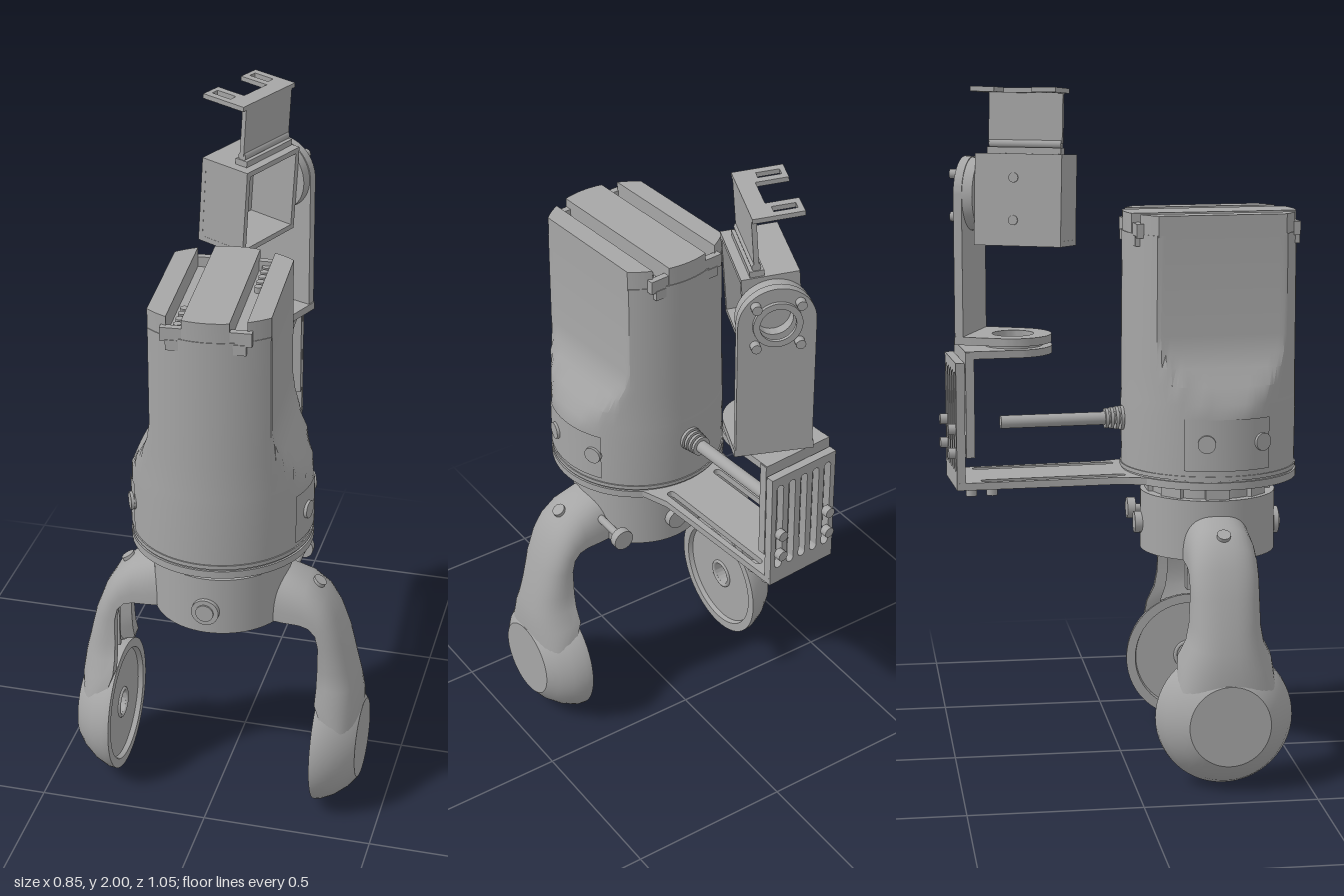
import * as THREE from 'three';
import { toCreasedNormals } from 'three/addons/utils/BufferGeometryUtils.js';

const TAU = Math.PI * 2;

export function createModel() {
  const model = new THREE.Group();
  const grey = new THREE.MeshStandardMaterial({ color: 0xa6a6a6 });
  grey.name = 'machined grey';

  const add = (parent, name, geo, x = 0, y = 0, z = 0) => {
    const mesh = new THREE.Mesh(geo, grey);
    mesh.name = name;
    mesh.position.set(x, y, z);
    parent.add(mesh);
    return mesh;
  };
  const group = (parent, name, x, y, z, ry = 0, rz = 0) => {
    const g = new THREE.Group();
    g.name = name;
    g.position.set(x, y, z);
    g.rotation.set(0, ry, rz);
    parent.add(g);
    return g;
  };
  const box = (parent, name, w, h, d, x, y, z) => add(parent, name, new THREE.BoxGeometry(w, h, d), x, y, z);
  // Cylinder lying along the chosen axis
  const cyl = (parent, name, r, h, axis, x, y, z, sides = 24) => {
    const g = new THREE.CylinderGeometry(r, r, h, sides);
    if (axis === 'x') g.rotateZ(-Math.PI / 2);
    if (axis === 'z') g.rotateX(Math.PI / 2);
    return add(parent, name, g, x, y, z);
  };
  const extrude = (shape, depth) =>
    toCreasedNormals(new THREE.ExtrudeGeometry(shape, { depth, bevelEnabled: false, curveSegments: 24 }), 0.5);
  // Flat slab between two heights; shape y points to -z
  const slab = (parent, name, shape, y0, y1) =>
    add(parent, name, extrude(shape, y1 - y0).rotateX(-Math.PI / 2), 0, y0, 0);
  // Upright plate between two depths
  const plate = (parent, name, shape, z0, z1) => add(parent, name, extrude(shape, z1 - z0), 0, 0, z0);
  const poly = (pts) => new THREE.Shape(pts.map(([x, y]) => new THREE.Vector2(x, y)));
  const hole = (shape, x, y, r) => shape.holes.push(new THREE.Path().absarc(x, y, r, 0, TAU, true));
  const slot = (shape, x, y0, y1, r) => {
    const p = new THREE.Path();
    p.absarc(x, y1, r, 0, Math.PI, false);
    p.absarc(x, y0, r, Math.PI, TAU, false);
    p.closePath();
    shape.holes.push(p);
  };
  // Straight-sided tongue with a round end
  const tongue = (y0, yc, r, bore) => {
    const s = new THREE.Shape();
    const up = yc > y0;
    s.moveTo(-r, y0);
    s.lineTo(-r, yc);
    s.absarc(0, yc, r, Math.PI, 0, up);
    s.lineTo(r, y0);
    s.closePath();
    hole(s, 0, yc, bore);
    return s;
  };
  const ring = (r, bore, y = 0) => {
    const s = new THREE.Shape().absarc(0, y, r, 0, TAU, false);
    hole(s, 0, y, bore);
    return s;
  };
  // Skin a list of closed cross-sections and cap both ends
  const loft = (sections, crease) => {
    const n = sections[0].length, pos = [], idx = [];
    sections.forEach((s) => s.forEach((p) => pos.push(...p)));
    for (let i = 0; i < sections.length - 1; i++) for (let j = 0; j < n; j++) {
      const a = i * n + j, b = i * n + (j + 1) % n;
      idx.push(a, a + n, b, b, a + n, b + n);
    }
    [0, sections.length - 1].forEach((k) => {
      const c = pos.length / 3;
      pos.push(...[0, 1, 2].map((q) => sections[k].reduce((t, p) => t + p[q], 0) / n));
      for (let j = 0; j < n; j++) {
        const a = k * n + j, b = k * n + (j + 1) % n;
        idx.push(c, k ? b : a, k ? a : b);
      }
    });
    const g = new THREE.BufferGeometry();
    g.setAttribute('position', new THREE.Float32BufferAttribute(pos, 3));
    g.setIndex(idx);
    return toCreasedNormals(g, crease);
  };

  // ---- Upper body: round base blending into a flat-sided column
  const body = group(model, 'body', 0, 0, 0.26, 0.074);
  const column = [[0.875, 0.256, 0.26], [1.06, 0.258, 0.26], [1.1, 0.257, 0.248], [1.15, 0.256, 0.222],
    [1.2, 0.256, 0.195], [1.24, 0.256, 0.178], [1.29, 0.256, 0.171], [1.58, 0.255, 0.169]];
  add(body, 'column', loft(column.map(([y, r, w]) => Array.from({ length: 96 }, (_, i) => {
    const a = (i / 96) * TAU;
    return [THREE.MathUtils.clamp(r * Math.cos(a), -w, w), y, r * Math.sin(a)];
  })), 0.6));
  cyl(body, 'baseRing', 0.262, 0.022, 'y', 0, 0.866, 0, 64);
  cyl(body, 'seamRing', 0.26, 0.012, 'y', 0, 0.888, 0, 64);

  // Top rails separated by two channels
  [['leftRail', 0.11, 0.169], ['middleRail', -0.065, 0.065], ['rightRail', -0.169, -0.11]].forEach(([name, x0, x1]) => {
    const pts = [];
    const edge = (x) => Math.sqrt(0.253 ** 2 - x * x);
    for (let i = 0; i <= 10; i++) { const x = x0 + (x1 - x0) * i / 10; pts.push([x, -edge(x)]); }
    for (let i = 10; i >= 0; i--) { const x = x0 + (x1 - x0) * i / 10; pts.push([x, edge(x)]); }
    slab(body, name, poly(pts), 1.575, 1.636);
  });
  for (const s of [-1, 1]) {
    for (let i = 0; i < 5; i++) cyl(body, 'contactPin', 0.012, 0.02, 'y', s * 0.087, 1.587, -s * (0.085 + i * 0.033), 16);
    for (const e of [-1, 1]) {
      box(body, 'channelClip', 0.075, 0.04, 0.02, s * 0.087, 1.59, e * 0.232);
      box(body, 'channelClipTab', 0.045, 0.03, 0.02, s * 0.087, 1.56, e * 0.234);
    }
    // Curved side covers with buttons
    const cover = new THREE.CylinderGeometry(0.262, 0.262, 0.15, 20, 1, true, s * Math.PI / 2 - 0.5, 1);
    add(body, 'sideCover', cover, 0, 0.985, 0);
    for (const a of [-0.25, 0.4]) {
      const b = group(body, 'sideButton', 0, 0.99, 0, s > 0 ? a : Math.PI + a);
      cyl(b, 'buttonCap', 0.026, 0.02, 'x', 0.26, 0, 0);
    }
  }

  // ---- Cable and strain relief at the back
  cyl(body, 'cable', 0.019, 0.38, 'z', 0, 1.03, -0.43);
  for (let i = 0; i < 4; i++) cyl(body, 'strainReliefRing', 0.036 - i * 0.002, 0.009, 'z', 0, 1.03, -0.262 - i * 0.015);

  // ---- Rear arm plate with long slots
  const arm = poly([[-0.19, 0.15], [-0.145, 0.22], [-0.122, 0.3], [-0.115, 0.765], [0.115, 0.765], [0.122, 0.3], [0.145, 0.22], [0.19, 0.15]].reverse());
  slot(arm, -0.088, 0.28, 0.68, 0.012);
  slot(arm, 0.088, 0.28, 0.68, 0.012);
  slab(body, 'armPlate', arm, 0.856, 0.877);
  const grille = poly([[-0.115, 0.86], [0.115, 0.86], [0.115, 1.225], [-0.115, 1.225]]);
  for (let i = -2; i <= 2; i++) slot(grille, i * 0.043, 0.92, 1.185, 0.012);
  plate(body, 'slottedBackPlate', grille, -0.765, -0.74);
  plate(body, 'lowerBracketWall', poly([[-0.115, 0.95], [0.115, 0.95], [0.115, 1.255], [-0.115, 1.255]]), -0.737, -0.712);
  slab(body, 'lowerBracketShelf', tongue(0.737, 0.58, 0.112, 0.06), 1.235, 1.257);
  const pivotRing = slab(body, 'pivotRing', ring(0.085, 0.055), 1.25, 1.27);
  pivotRing.position.z = -0.58;
  for (const s of [-1, 1]) {
    for (const y of [0.96, 1.03]) cyl(body, 'backBolt', 0.016, 0.022, 'z', s * 0.086, y, -0.775, 12);
    for (const z of [-0.66, -0.72]) cyl(body, 'underBolt', 0.016, 0.022, 'y', s * 0.088, 0.846, z, 12);
  }

  // ---- Swivelled upper bracket
  const swivel = group(model, 'swivelBracket', -0.043, 0, -0.32, -0.39);
  slab(swivel, 'swivelShelf', tongue(0.14, 0, 0.112, 0.06), 1.267, 1.29);
  const upright = tongue(1.267, 1.69, 0.108, 0.05);
  plate(swivel, 'swivelUpright', upright, -0.14, -0.115);
  plate(swivel, 'frontJointRing', ring(0.105, 0.05, 1.69), -0.115, -0.085);
  plate(swivel, 'backJointRing', ring(0.068, 0.05, 1.69), -0.15, -0.14);
  for (let i = 0; i < 4; i++) {
    const a = Math.PI / 4 + i * Math.PI / 2;
    cyl(swivel, 'jointBolt', 0.014, 0.025, 'z', 0.086 * Math.cos(a), 1.69 + 0.086 * Math.sin(a), -0.15, 12);
  }

  // Open box, tilted about the joint
  const head = group(swivel, 'tiltHead', 0, 1.69, 0, 0, -0.07);
  box(head, 'boxSideWall', 0.014, 0.26, 0.255, -0.073, -0.013, 0.043);
  box(head, 'boxTop', 0.16, 0.016, 0.255, 0, 0.109, 0.043);
  box(head, 'boxBottom', 0.16, 0.016, 0.255, 0, -0.135, 0.043);
  box(head, 'boxFront', 0.16, 0.26, 0.016, 0, -0.013, 0.162);
  box(head, 'boxBack', 0.16, 0.26, 0.016, 0, -0.013, -0.077);
  for (const y of [-0.07, 0.05]) cyl(head, 'boxScrew', 0.014, 0.022, 'x', -0.073, y, 0.03, 16);

  // Hinged clip with two slotted prongs
  box(head, 'hingeBase', 0.04, 0.02, 0.22, 0.035, 0.125, 0.03);
  cyl(head, 'hingePin', 0.013, 0.215, 'z', 0.035, 0.145, 0.03, 16);
  box(head, 'clipPlate', 0.014, 0.155, 0.22, 0.035, 0.225, 0.03);
  box(head, 'clipLip', 0.05, 0.014, 0.25, 0.017, 0.296, 0.03);
  for (const z of [-0.06, 0.12]) {
    const prong = poly([[-0.1, -0.035], [0, -0.035], [0, 0.035], [-0.1, 0.035]]);
    prong.holes.push(new THREE.Path([[-0.085, -0.013], [-0.085, 0.013], [-0.02, 0.013], [-0.02, -0.013]]
      .map(([x, y]) => new THREE.Vector2(x, y))));
    slab(head, 'clipProng', prong, 0.289, 0.303).position.z = z;
  }

  // ---- Gripper hub and neck
  const gripper = group(model, 'gripper', 0, 0, 0.26);
  cyl(gripper, 'hub', 0.2, 0.178, 'y', 0, 0.721, 0, 64);
  cyl(gripper, 'neck', 0.172, 0.06, 'y', 0, 0.83, 0, 48);
  for (let i = 0; i < 8; i++) {
    const g = group(gripper, 'neckLug', 0, 0.828, 0, i * TAU / 8);
    box(g, 'lugBlock', 0.07, 0.036, 0.03, 0, 0, 0.168);
  }
  cyl(gripper, 'frontButton', 0.04, 0.03, 'z', 0, 0.705, 0.197, 32);
  cyl(gripper, 'frontButtonCap', 0.026, 0.03, 'z', 0, 0.705, 0.202, 32);
  cyl(gripper, 'backButton', 0.032, 0.04, 'z', 0, 0.71, -0.2);
  cyl(gripper, 'sideKnob', 0.032, 0.025, 'z', 0.192, 0.71, -0.203);
  cyl(gripper, 'sideKnobStem', 0.012, 0.13, 'z', 0.192, 0.71, -0.14, 12);

  // ---- Two curved fingers; each station: inner x, y, outer x, y, half width, groove depth
  const stations = [[0.12, 0.64, 0.12, 0.79, 0.1, 0], [0.2, 0.632, 0.2, 0.765, 0.1, 0], [0.25, 0.63, 0.26, 0.745, 0.1, 0],
    [0.276, 0.622, 0.315, 0.7, 0.1, 0.1], [0.296, 0.6, 0.35, 0.64, 0.1, 0.4], [0.305, 0.56, 0.38, 0.56, 0.1, 0.55],
    [0.305, 0.48, 0.403, 0.465, 0.103, 0.55], [0.305, 0.43, 0.416, 0.41, 0.112, 0.5], [0.305, 0.385, 0.424, 0.35, 0.135, 0.3],
    [0.335, 0.3, 0.424, 0.29, 0.145, 0]];
  const fingerSections = stations.map(([ix, iy, ox, oy, w, d]) => {
    const uv = [];
    for (let i = 0; i <= 20; i++) {
      const a = (i / 20) * Math.PI;
      uv.push([Math.sign(Math.cos(a)) * Math.abs(Math.cos(a)) ** 0.8, Math.sin(a) ** 0.75]);
    }
    uv.push([-0.68, 0], [-0.64, d], [0.64, d], [0.68, 0]);
    return uv.map(([u, v]) => [ix + (ox - ix) * v, iy + (oy - iy) * v, u * w]);
  });
  const padProfile = [[0, 0.06], [0.036, 0.06], [0.036, 0.015], [0.168, 0.015], [0.172, 0], [0.2, 0], [0.198, 0.02],
    [0.18, 0.058], [0.15, 0.095], [0.122, 0.117], [0.118, 0.12], [0, 0.12]].map(([r, h]) => new THREE.Vector2(r, h));
  for (const [name, turn] of [['leftFinger', 0], ['rightFinger', Math.PI]]) {
    const f = group(gripper, name, 0, 0, 0, turn);
    add(f, 'fingerArm', loft(fingerSections, 0.7));
    add(f, 'fingerPad', toCreasedNormals(new THREE.LatheGeometry(padProfile, 56).rotateZ(-Math.PI / 2), 0.5), 0.305, 0.2, 0);
    add(f, 'padHoleRim', new THREE.TorusGeometry(0.042, 0.006, 8, 24).rotateY(Math.PI / 2), 0.319, 0.2, 0);
    box(f, 'fingerRib', 0.05, 0.16, 0.012, 0.345, 0.49, 0);
    const screw = cyl(f, 'fingerScrew', 0.02, 0.02, 'y', 0.285, 0.724, 0, 20);
    screw.rotation.z = -0.55;
  }
  return model;
}
